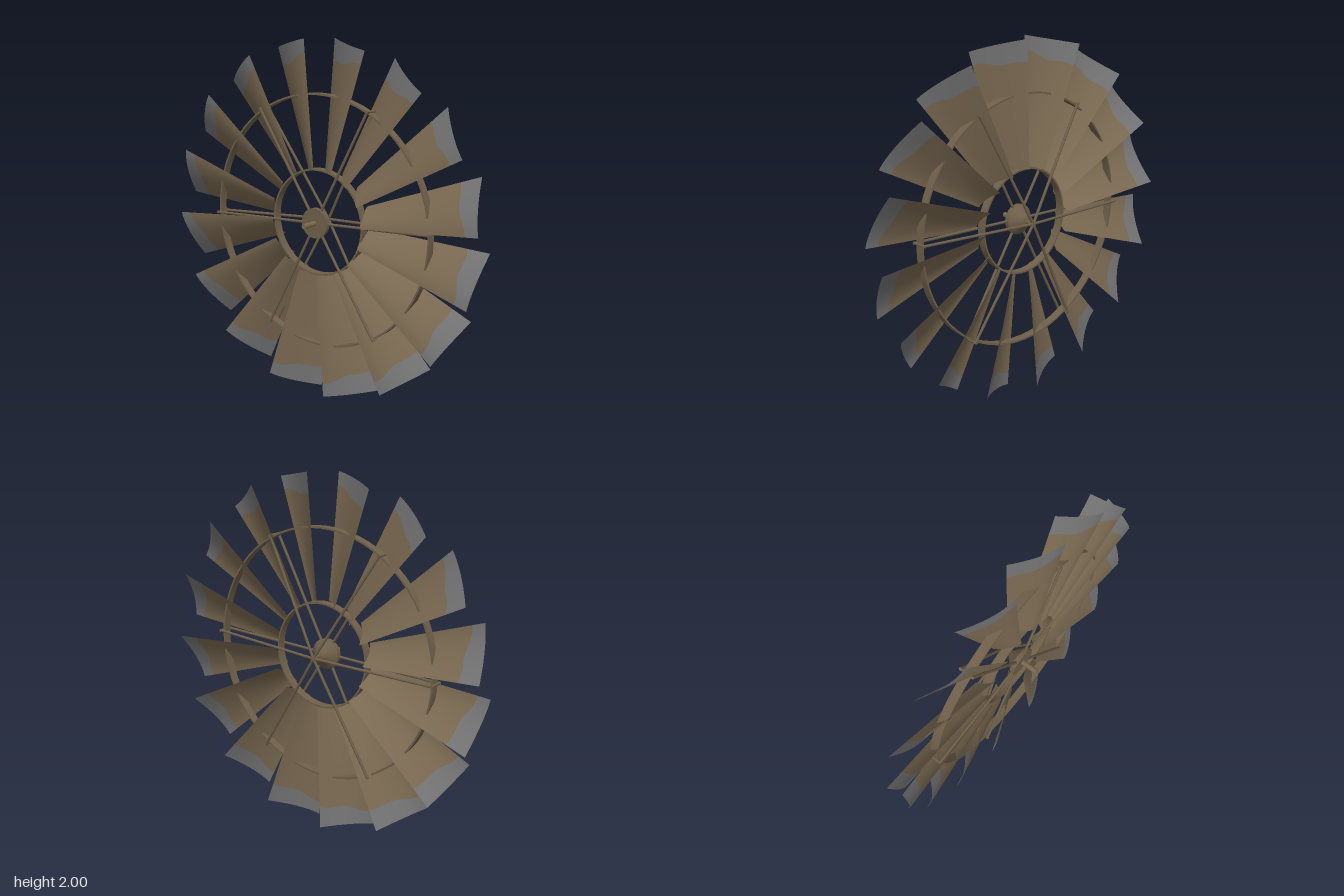
import * as THREE from 'three';

const mat = (name, color, side = THREE.FrontSide) => {
  const m = new THREE.MeshStandardMaterial({ color, side });
  m.name = name;
  return m;
};
const lerp = THREE.MathUtils.lerp;

// Curved, tapered sheet between two radial limits; s runs across the blade
function bladePanel(innerAt, outerAt, rows) {
  const g = new THREE.PlaneGeometry(1, 1, 10, rows);
  const p = g.attributes.position;
  for (let i = 0; i < p.count; i++) {
    const s = p.getX(i) + 0.5;
    const r = lerp(innerAt(s), outerAt(s), p.getY(i) + 0.5);
    const t = (r - 0.295) / 0.695;
    const half = lerp(0.054, 0.143, t);
    const x = lerp(lerp(-0.022, -0.03, t), lerp(0.078, 0.105, t), Math.pow(s, 1.6));
    p.setXYZ(i, x, r, -(2 * s - 1) * half);
  }
  g.computeVertexNormals();
  return g;
}

// Flat hoop around the x axis
function hoop(radius, x0, x1, thick) {
  const a = radius - thick / 2, b = radius + thick / 2;
  const pts = [[a, x0], [b, x0], [b, x0], [b, x1], [b, x1], [a, x1], [a, x1], [a, x0]]
    .map(([r, x]) => new THREE.Vector2(r, x));
  return new THREE.LatheGeometry(pts, 64).rotateZ(-Math.PI / 2);
}

// Round rod between two points
function rod(a, b, radius) {
  const dir = b.clone().sub(a);
  const g = new THREE.CylinderGeometry(radius, radius, dir.length(), 8);
  g.applyQuaternion(new THREE.Quaternion().setFromUnitVectors(
    new THREE.Vector3(0, 1, 0), dir.clone().normalize()));
  return g.translate((a.x + b.x) / 2, (a.y + b.y) / 2, (a.z + b.z) / 2);
}

export function createModel() {
  const model = new THREE.Group();
  model.name = 'windWheel';
  const wheel = new THREE.Group();
  wheel.name = 'wheel';
  wheel.position.y = 1;
  model.add(wheel);

  const rust = mat('weatheredBrown', 0x7b6a52, THREE.DoubleSide);
  const grey = mat('bareSteel', 0x747474, THREE.DoubleSide);
  const iron = mat('darkBrownIron', 0x6e5f49, THREE.DoubleSide);

  const add = (parent, name, geo, m) => {
    const mesh = new THREE.Mesh(geo, m);
    mesh.name = name;
    parent.add(mesh);
    return mesh;
  };
  const V = (x, y) => new THREE.Vector3(x, y, 0);

  // Sixteen blades with bare steel tips
  const band = s => 0.915 - 0.05 * s + 0.008 * Math.sin(s * 9);
  const body = bladePanel(() => 0.295, band, 8);
  const tip = bladePanel(band, () => 0.99, 3);
  for (let i = 0; i < 16; i++) {
    const blade = new THREE.Group();
    blade.name = 'blade';
    blade.rotation.x = -THREE.MathUtils.degToRad(11.25 + 0.7 + i * 22.5);
    add(blade, 'bladeBody', body, rust);
    add(blade, 'bladeTip', tip, grey);
    wheel.add(blade);
  }

  // Hoops that carry the blades
  add(wheel, 'outerHoop', hoop(0.705, -0.003, 0.045, 0.01), iron);
  add(wheel, 'innerHoop', hoop(0.295, -0.003, 0.045, 0.01), iron);

  // Six arms: sloping front rod, straight back rod, cross pin at the end
  const frontRod = rod(V(0.11, 0), V(0.06, 0.72), 0.008);
  const backRod = rod(V(-0.012, 0.02), V(-0.012, 0.72), 0.008);
  const pin = rod(V(-0.02, 0.712), V(0.07, 0.712), 0.008);
  for (let i = 0; i < 6; i++) {
    const arm = new THREE.Group();
    arm.name = 'arm';
    arm.rotation.x = -THREE.MathUtils.degToRad(32.5 + i * 60);
    add(arm, 'frontRod', frontRod, iron);
    add(arm, 'backRod', backRod, iron);
    add(arm, 'crossPin', pin, iron);
    wheel.add(arm);
  }

  // Hub cone and axle
  const hubProfile = [[0, -0.025], [0.085, -0.025], [0.085, -0.025], [0.085, 0.0],
    [0.085, 0.0], [0.03, 0.05], [0.02, 0.06], [0, 0.06]]
    .map(([r, x]) => new THREE.Vector2(r, x));
  add(wheel, 'hub', new THREE.LatheGeometry(hubProfile, 24).rotateZ(-Math.PI / 2), iron);
  add(wheel, 'axle', rod(V(-0.12, 0), V(0.06, 0), 0.015), rust);
  add(wheel, 'axleNose', rod(V(0.05, 0), V(0.118, 0), 0.012), iron);
  return model;
}
